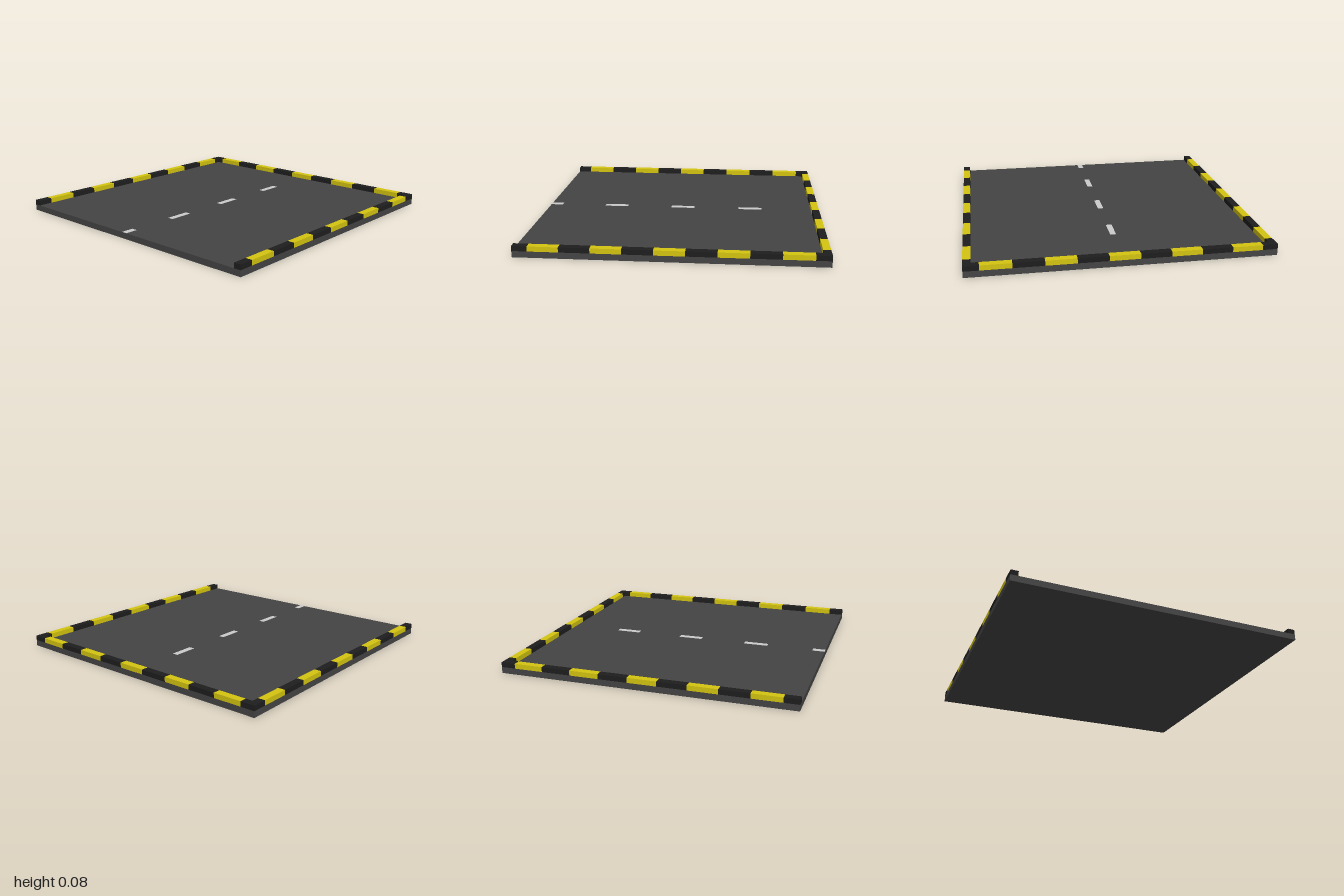
import * as THREE from 'three';

const SLAB = 0.042, TOP = 0.076, CURB = 0.05;

const paint = (color) => new THREE.MeshStandardMaterial({ color });

// Box given by its minimum and maximum corners
function block(name, material, [x0, y0, z0], [x1, y1, z1]) {
  const mesh = new THREE.Mesh(new THREE.BoxGeometry(x1 - x0, y1 - y0, z1 - z0), material);
  mesh.position.set((x0 + x1) / 2, (y0 + y1) / 2, (z0 + z1) / 2);
  mesh.name = name;
  return mesh;
}

export function createModel() {
  const model = new THREE.Group();
  model.name = 'roadTile';
  const asphalt = paint(0x444444), black = paint(0x1e1e1e);
  const yellow = paint(0xd4c410), white = paint(0xeeeeee);

  // Road slab
  model.add(block('roadSlab', asphalt, [-1, 0, -1], [1, SLAB, 1]));

  // Striped curbs: black at the ends, alternating every 0.2
  const curbs = { backCurb: new THREE.Group(), leftCurb: new THREE.Group(), rightCurb: new THREE.Group() };
  for (const [name, group] of Object.entries(curbs)) {
    group.name = name;
    model.add(group);
  }
  const stops = [-1, -0.9, -0.7, -0.5, -0.3, -0.1, 0.1, 0.3, 0.5, 0.7, 0.9, 1];
  for (let i = 0; i < stops.length - 1; i++) {
    const a = stops[i], b = stops[i + 1];
    const material = i % 2 ? yellow : black;
    const label = i % 2 ? 'yellowStripe' : 'blackStripe';
    curbs.backCurb.add(block(label, material, [a, SLAB, -1], [b, TOP, -1 + CURB]));
    // Side curbs butt against the back curb
    const start = Math.max(a, -1 + CURB);
    curbs.leftCurb.add(block(label, material, [1 - CURB, SLAB, start], [1, TOP, b]));
    curbs.rightCurb.add(block(label, material, [-1, SLAB, start], [-1 + CURB, TOP, b]));
  }

  // Centre line dashes, the last cut off at the open front edge
  const dashes = new THREE.Group();
  dashes.name = 'centreLine';
  for (let i = 0; i < 4; i++) {
    const z = -0.587 + i * 0.5;
    dashes.add(block('dash', white, [-0.02, SLAB, z], [0.02, SLAB + 0.002, Math.min(z + 0.172, 1)]));
  }
  model.add(dashes);

  return model;
}
